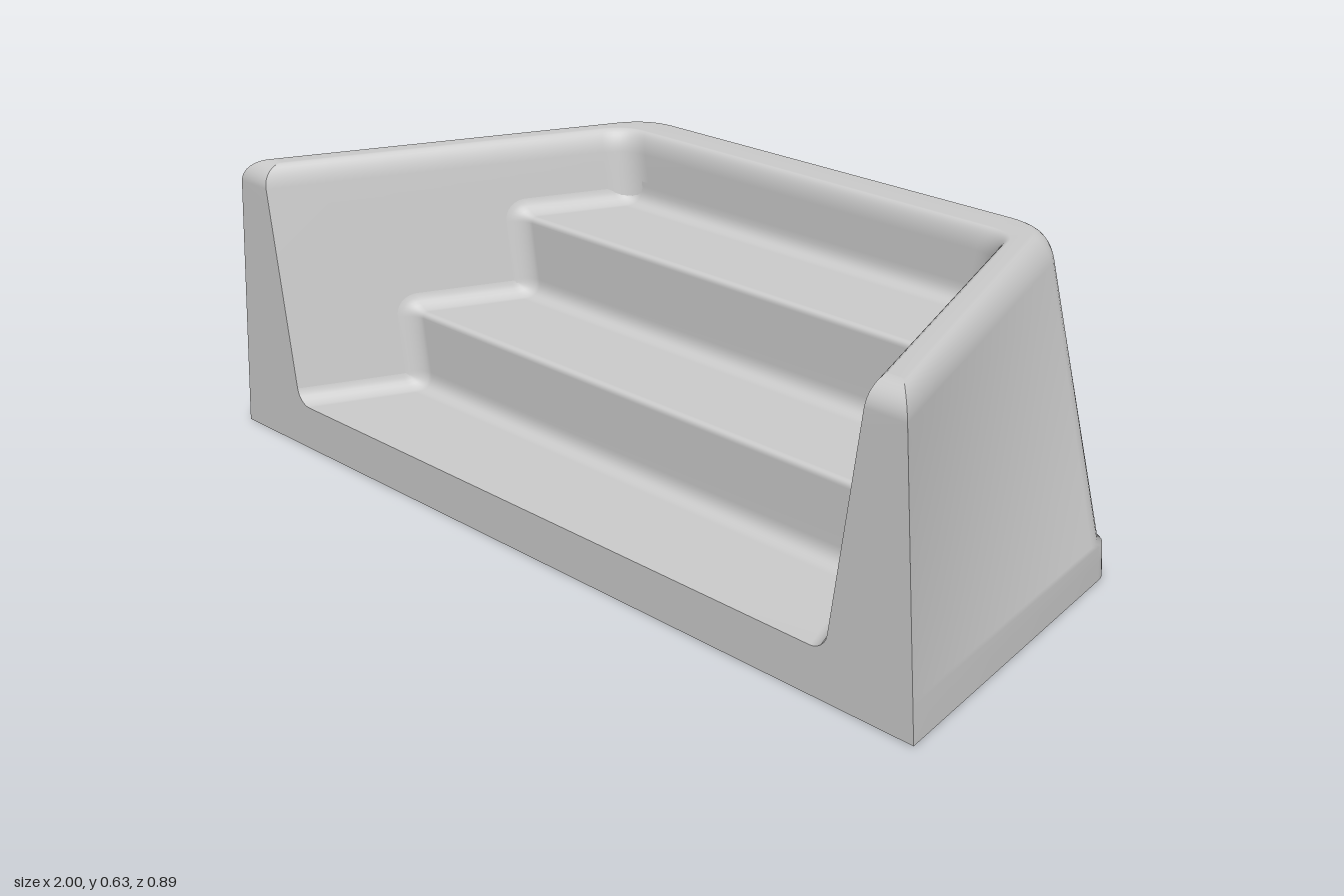
import * as THREE from 'three';

const FRONT = 0.445, CREST = 0.585, TOP_R = 0.05, FLOOR = 0.1, FILLET = 0.035;

// inner side wall: half width at a given height and depth
const innerX = (y, z) => 0.87 + 0.4156 * (z - 0.44) - 0.15 * (0.635 - y);
// outer side wall at the front, and the outer back corner
const outerFrontX = y => 1 - 0.071 * y;
const cornerX = y => 0.85 - Math.max(0, y - 0.08) * 0.468;
const backZ = y => (y < 0.08 ? -0.335 + y * 0.1 : -0.327 - (y - 0.08) * 0.225);

// surface through rows of points; faces along (column direction) x (row direction)
function gridGeometry(rows) {
  const n = rows[0].length, index = [];
  for (let k = 0; k < rows.length - 1; k++) {
    for (let i = 0; i < n - 1; i++) {
      const a = k * n + i, b = a + 1, c = b + n, d = a + n;
      index.push(a, b, c, a, c, d);
    }
  }
  const g = new THREE.BufferGeometry();
  g.setAttribute('position', new THREE.Float32BufferAttribute(rows.flat(2), 3));
  g.setIndex(index);
  g.computeVertexNormals();
  return g;
}

// polyline with each inner corner replaced by a small curve
function roundPath(points, radii, straight = 1) {
  const v = points.map(p => new THREE.Vector2(...p));
  const out = [];
  let from = v[0];
  for (let i = 1; i < v.length; i++) {
    const last = i === v.length - 1, r = radii[i - 1];
    const to = last ? v[i] : v[i].clone().add(v[i - 1].clone().sub(v[i]).setLength(r));
    for (let j = 0; j < straight; j++) out.push(from.clone().lerp(to, j / straight));
    if (last) { out.push(to); break; }
    from = v[i].clone().add(v[i + 1].clone().sub(v[i]).setLength(r));
    const bend = new THREE.QuadraticBezierCurve(to, v[i], from).getPoints(8);
    out.push(...bend.slice(0, -1));
  }
  return out;
}

// U-shaped plan loop from the left front, round the back, to the right front
function planLoop(y, zf, xf, xc, zc, r) {
  return roundPath([[xf, zf], [xc, zc], [-xc, zc], [-xf, zf]], [r, r], 6).map(p => [p.x, y, p.y]);
}

// heights of the wall, with the rounded crest at the end
const levels = [0, 0.04, 0.075, 0.085, 0.2, 0.32, 0.44, 0.54].map(y => ({ y, zf: FRONT, inset: 0 }));
for (let i = 0; i <= 8; i++) {
  const a = i / 8 * Math.PI / 2, c = 1 - Math.cos(a);
  levels.push({ y: CREST + TOP_R * Math.sin(a), zf: FRONT - TOP_R * c, inset: c });
}

const outerLoop = ({ y, zf, inset }) => {
  const e = inset * 0.03;
  // follow the slanted side when the crest pulls the front end back
  const xf = outerFrontX(y) - e - (FRONT - zf) * 0.4;
  return planLoop(y, zf, xf, cornerX(y) - e * 0.8, backZ(y) + e, y < 0.08 ? 0.05 : 0.08);
};
const innerLoop = ({ y, zf, inset }) => {
  const e = inset * 0.02, zb = -0.332;
  return planLoop(y, zf, innerX(y, zf) + e, innerX(y, zb) + e * 0.8, zb - e, 0.06);
};

function stairGeometry() {
  const path = roundPath(
    [[FRONT, FLOOR], [0.18, FLOOR], [0.18, 0.28], [-0.08, 0.28], [-0.08, 0.465], [-0.33, 0.465], [-0.33, 0.52]],
    [0.04, 0.014, 0.04, 0.014, 0.04], 3);
  const rows = path.map((p, i) => {
    const t = path[Math.min(i + 1, path.length - 1)].clone().sub(path[Math.max(i - 1, 0)]).normalize();
    // half row: flat middle, then a fillet climbing onto the side wall
    const half = [];
    for (let j = 0; j <= 6; j++) {
      const a = j / 6 * Math.PI / 2, lift = FILLET * (1 - Math.cos(a));
      const z = p.x + t.y * lift, y = p.y - t.x * lift;
      half.push([innerX(y, z) - FILLET * (1 - Math.sin(a)), y, z]);
    }
    return [...half.map(([x, y, z]) => [-x, y, z]).reverse(), ...half];
  });
  return gridGeometry(rows);
}

// front end of the left wall, from the inner fillet out to the outer side
function wallFrontGeometry() {
  const rows = [];
  for (let i = 0; i <= 6; i++) {
    const a = i / 6 * Math.PI / 2, y = FLOOR + FILLET * (1 - Math.cos(a));
    rows.push([[innerX(y, FRONT) - FILLET * (1 - Math.sin(a)), y, FRONT], [outerFrontX(y), y, FRONT]]);
  }
  for (const level of levels.filter(l => l.y > FLOOR + FILLET)) {
    rows.push([innerLoop(level)[0], outerLoop(level)[0]]);
  }
  return gridGeometry(rows);
}

export function createModel() {
  const group = new THREE.Group();
  const material = new THREE.MeshStandardMaterial({ color: 0xcccccc, side: THREE.DoubleSide });
  const add = (name, geometry) => {
    const mesh = new THREE.Mesh(geometry, material);
    mesh.name = name;
    group.add(mesh);
    return mesh;
  };

  // surrounding wall: up the outside, over the rim, down the inside
  const inside = levels.filter(l => l.y > 0.08).reverse();
  add('surroundingWall', gridGeometry([...levels.map(outerLoop), ...inside.map(innerLoop)]));

  add('steps', stairGeometry());

  // front ends of the two walls
  const left = wallFrontGeometry();
  add('leftWallFront', left);
  const right = left.clone();
  const pos = right.attributes.position;
  for (let i = 0; i < pos.count; i++) pos.setX(i, -pos.getX(i));
  const idx = right.index.array;
  for (let i = 0; i < idx.length; i += 3) [idx[i], idx[i + 1]] = [idx[i + 1], idx[i]];
  right.computeVertexNormals();
  add('rightWallFront', right);

  // face below the lowest step
  add('frontPanel', gridGeometry([0, FLOOR].map(y =>
    [[-outerFrontX(y), y, FRONT], [outerFrontX(y), y, FRONT]])));

  // underside
  const base = new THREE.Shape(outerLoop(levels[0]).map(([x, , z]) => new THREE.Vector2(x, z)));
  add('underside', new THREE.ShapeGeometry(base).rotateX(Math.PI / 2));

  return group;
}
